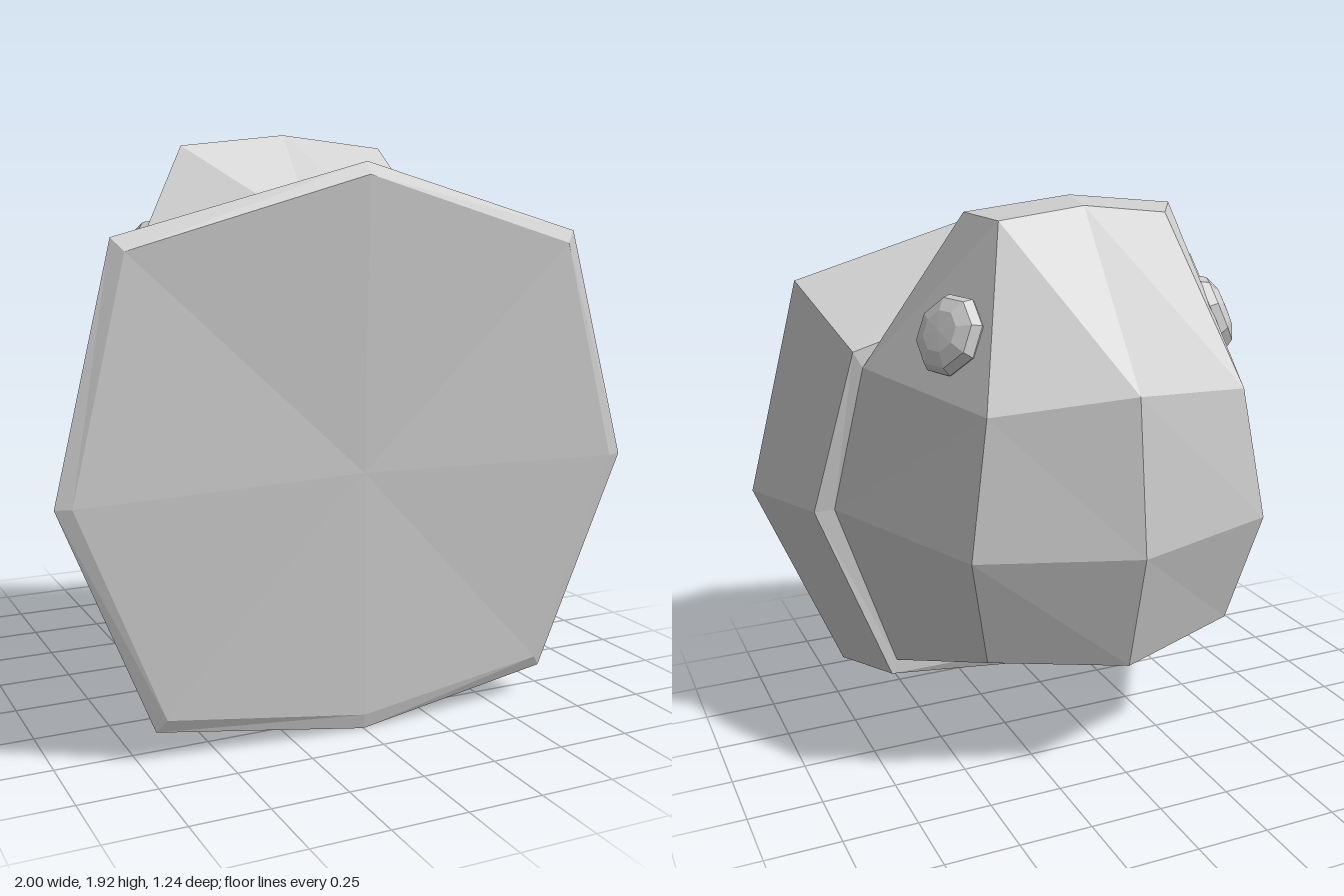
import * as THREE from 'three';

const material = new THREE.MeshStandardMaterial({ color: 0xcccccc, flatShading: true, side: THREE.DoubleSide });

// Faces given on the +x half are mirrored to the other half.
function mirroredMesh(faces, name) {
  const pos = [];
  const addFan = (pts) => {
    for (let i = 1; i < pts.length - 1; i++) pos.push(...pts[0], ...pts[i], ...pts[i + 1]);
  };
  for (const face of faces) {
    addFan(face);
    addFan(face.map(([x, y, z]) => [-x, y, z]).reverse());
  }
  const geometry = new THREE.BufferGeometry();
  geometry.setAttribute('position', new THREE.Float32BufferAttribute(pos, 3));
  geometry.computeVertexNormals();
  const mesh = new THREE.Mesh(geometry, material);
  mesh.name = name;
  return mesh;
}

// Ribbon running over the top, down the back and under: [corner, centre] per row.
const rows = [
  [[0.68, 1.355, 0.165], [0, 1.6, 0.23]],
  [[0.375, 1.88, -0.025], [0, 1.92, -0.025]],
  [[0.3, 1.86, -0.14], [0, 1.895, -0.14]],
  [[0.46, 1.3, -0.425], [0, 1.35, -0.56]],
  [[0.535, 0.845, -0.465], [0, 0.83, -0.62]],
  [[0.453, 0.45, -0.37], [0, 0.41, -0.51]],
  [[0.59, 0.23, 0.215], [0, 0.175, 0.215]],
];
const sideFront = [0.79, 0.845, 0.222];

function makeShell() {
  const faces = [];
  for (let i = 0; i < rows.length - 1; i++) {
    faces.push([rows[i][0], rows[i + 1][0], rows[i + 1][1], rows[i][1]]);
  }
  // Side panels
  const c = rows.map((r) => r[0]);
  faces.push([c[0], c[3], c[2], c[1]], [sideFront, c[4], c[3], c[0]], [c[6], c[5], c[4], sideFront]);
  return mirroredMesh(faces, 'rearShell');
}

function makeFrontFrame() {
  // Half loops from top centre to bottom centre, front to back
  const loops = [
    [[0, 1.78, 0.622], [0.77, 1.56, 0.585], [0.95, 0.83, 0.615], [0.67, 0.14, 0.605], [0, 0.05, 0.622]],
    [[0, 1.82, 0.6], [0.805, 1.6, 0.56], [1, 0.83, 0.6], [0.7, 0.1, 0.585], [0, 0, 0.612]],
    [[0, 1.602, 0.225], [0.71, 1.41, 0.17], [0.862, 0.845, 0.222], [0.612, 0.18, 0.21], [0, 0.095, 0.242]],
    [rows[0][1], rows[0][0], sideFront, rows[6][0], rows[6][1]],
  ];
  const faces = [];
  for (let l = 0; l < loops.length - 1; l++) {
    for (let i = 0; i < 4; i++) {
      faces.push([loops[l][i], loops[l][i + 1], loops[l + 1][i + 1], loops[l + 1][i]]);
    }
  }
  // Broad front plate
  for (let i = 0; i < 4; i++) faces.push([[0, 0.85, 0.604], loops[0][i + 1], loops[0][i]]);
  return mirroredMesh(faces, 'frontFrame');
}

// Faceted oval button seated on each upper side panel
function makeButton(side) {
  const profile = [[0, -0.05], [0.08, -0.04], [0.125, -0.01], [0.137, 0.015], [0.118, 0.045], [0.07, 0.065], [0, 0.068]];
  const geometry = new THREE.LatheGeometry(profile.map(([r, h]) => new THREE.Vector2(r, h)), 8);
  const button = new THREE.Mesh(geometry, material);
  button.name = side > 0 ? 'leftButton' : 'rightButton';
  const normal = new THREE.Vector3(0.834 * side, 0.394, -0.387).normalize();
  button.quaternion.setFromUnitVectors(new THREE.Vector3(0, 1, 0), normal);
  button.position.set(0.468 * side, 1.506, -0.155);
  return button;
}

export function createModel() {
  const model = new THREE.Group();
  model.name = 'facetedHousing';
  model.add(makeShell(), makeFrontFrame(), makeButton(1), makeButton(-1));
  return model;
}
